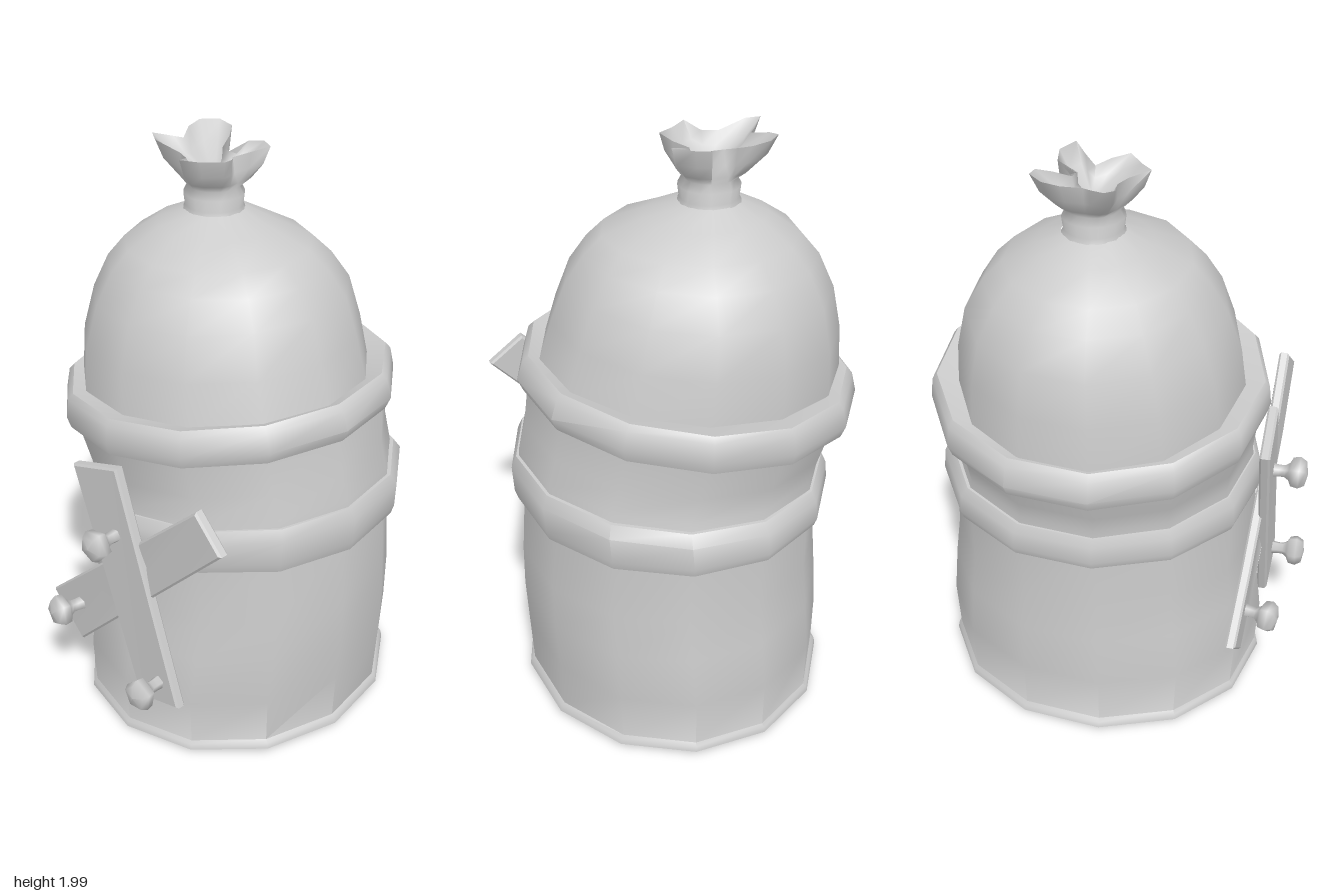
import * as THREE from 'three';
import { toCreasedNormals, mergeVertices } from 'three/addons/utils/BufferGeometryUtils.js';

const material = new THREE.MeshStandardMaterial({ color: 0xcccccc });
const thin = new THREE.MeshStandardMaterial({ color: 0xcccccc, side: THREE.DoubleSide });
const SIDES = 13;

// Skin a list of equal-length point rings (counter-clockwise from above)
function loft(rings, crease, capBottom = false) {
  const n = rings[0].length;
  const pos = rings.flat().flatMap((p) => [p.x, p.y, p.z]);
  const index = [];
  for (let r = 0; r < rings.length - 1; r++) {
    for (let i = 0; i < n; i++) {
      const a = r * n + i, b = r * n + ((i + 1) % n);
      index.push(a, b, b + n, a, b + n, a + n);
    }
  }
  if (capBottom) for (let i = 1; i < n - 1; i++) index.push(0, i + 1, i);
  const geo = new THREE.BufferGeometry();
  geo.setAttribute('position', new THREE.Float32BufferAttribute(pos, 3));
  geo.setIndex(index);
  return toCreasedNormals(geo, crease);
}

// Oval ring whose plane leans by slope along x
function ring([y, cx, cz, rx, rz, slope = 0]) {
  return Array.from({ length: SIDES }, (_, i) => {
    const a = THREE.MathUtils.degToRad(169) + (i / SIDES) * Math.PI * 2;
    const dx = Math.sin(a) * rx * 1.015;
    return new THREE.Vector3(cx + dx, y + dx * slope, cz + Math.cos(a) * rz * 1.015);
  });
}

function add(group, name, geo, mat = material) {
  const mesh = new THREE.Mesh(geo, mat);
  mesh.name = name;
  group.add(mesh);
  return mesh;
}

// Gathered cloth tuft: circles blending into a lobed rim
function tuftGeometry() {
  const cx = -0.09, cz = -0.07;
  const rim = [
    [0.065, -0.164], [0.003, -0.2], [-0.055, -0.19], [-0.075, -0.123], [-0.113, -0.13],
    [-0.137, -0.185], [-0.168, -0.226], [-0.226, -0.226], [-0.27, -0.178], [-0.264, -0.123],
    [-0.226, -0.065], [-0.247, -0.041], [-0.288, 0.014], [-0.247, 0.038], [-0.15, 0.02],
    [-0.1, 0.041], [-0.065, 0.103], [-0.014, 0.062], [0.045, 0.014], [0.02, -0.041],
    [-0.02, -0.082], [0.02, -0.123],
  ];
  // y, circle radius, blend towards the rim
  const levels = [
    [1.75, 0.11, 0], [1.78, 0.095, 0], [1.82, 0.1, 0], [1.845, 0.085, 0.02], [1.87, 0.1, 0.25],
    [1.91, 0.1, 0.72], [1.965, 0.1, 1], [1.92, 0.05, 0.6], [1.88, 0.02, 0.12], [1.87, 0.001, 0],
  ];
  const rings = levels.map(([y, r, t]) => rim.map(([x, z]) => {
    const dx = x - cx, dz = z - cz, d = Math.hypot(dx, dz);
    const k = THREE.MathUtils.lerp(r / d, 1, t);
    return new THREE.Vector3(cx + dx * k, y + (d - 0.14) * 0.3 * t - dz * 0.04 * t, cz + dz * k);
  }));
  return loft(rings, 1.6);
}

// Thin board from four front corners, leaning in depth along x
function plankGeometry(corners, z, slope, bow) {
  const [a, b, c, d] = corners.map((p) => new THREE.Vector2(...p));
  const pts = [a, b];
  for (let i = 1; i < 4; i++) pts.push(b.clone().lerp(c, i / 4));
  pts.push(c, d);
  for (let i = 1; i < 4; i++) pts.push(d.clone().lerp(a, i / 4));
  const geo = new THREE.ExtrudeGeometry(new THREE.Shape(pts), {
    depth: 0.022, bevelThickness: 0.007, bevelSize: 0.007, bevelOffset: -0.007, bevelSegments: 1,
  });
  const p = geo.attributes.position;
  for (let i = 0; i < p.count; i++) {
    const off = (p.getY(i) - 0.66) / 0.44;
    p.setZ(i, p.getZ(i) + z + slope * p.getX(i) + bow * (1 - off * off));
  }
  geo.deleteAttribute('normal');
  geo.deleteAttribute('uv');
  return toCreasedNormals(mergeVertices(geo), 0.5);
}

export function createModel() {
  const model = new THREE.Group();

  // Sack: rings are [y, centre x, centre z, radius x, radius z, lean]
  add(model, 'lowerBody', loft([
    [0, 0.035, -0.07, 0.505, 0.555], [0.015, 0.035, -0.07, 0.525, 0.573],
    [0.035, 0.035, -0.07, 0.52, 0.57], [0.045, 0.035, -0.07, 0.508, 0.56],
    [0.22, 0.038, -0.07, 0.513, 0.57], [0.4, 0.048, -0.075, 0.512, 0.55],
    [0.55, 0.052, -0.075, 0.506, 0.53], [0.78, 0.045, -0.075, 0.495, 0.53, 0.02],
  ].map(ring), 0.9, true));
  add(model, 'middleBody', loft([
    [0.84, 0.045, -0.08, 0.51, 0.53, 0.06], [0.92, 0.045, -0.075, 0.505, 0.51, 0.07],
    [1.0, 0.02, -0.07, 0.505, 0.515, 0.09], [1.14, -0.01, -0.07, 0.515, 0.54, 0.11],
  ].map(ring), 0.9));
  add(model, 'lowerBand', loft([
    [0.765, 0.045, -0.08, 0.48, 0.52, 0.025], [0.755, 0.045, -0.085, 0.52, 0.545, 0.025],
    [0.785, 0.045, -0.085, 0.53, 0.555, 0.03], [0.86, 0.05, -0.085, 0.53, 0.55, 0.06],
    [0.895, 0.047, -0.08, 0.515, 0.525, 0.07], [0.895, 0.047, -0.08, 0.48, 0.49, 0.07],
  ].map(ring), 0.8));
  add(model, 'upperBand', loft([
    [1.12, -0.01, -0.07, 0.49, 0.52, 0.11], [1.11, -0.02, -0.07, 0.54, 0.55, 0.11],
    [1.15, -0.02, -0.07, 0.558, 0.562, 0.11], [1.215, -0.022, -0.07, 0.54, 0.555, 0.11],
    [1.235, -0.022, -0.07, 0.52, 0.54, 0.11], [1.215, -0.03, -0.065, 0.47, 0.45, 0.1],
  ].map(ring), 0.8));
  add(model, 'domeTop', loft([
    [1.19, -0.03, -0.06, 0.5, 0.472, 0.11], [1.36, -0.05, -0.063, 0.47, 0.455, 0.085],
    [1.5, -0.06, -0.07, 0.43, 0.415, 0.08], [1.6, -0.065, -0.067, 0.375, 0.355, 0.05],
    [1.665, -0.065, -0.063, 0.315, 0.295, 0.035], [1.725, -0.08, -0.068, 0.2, 0.185, 0],
    [1.77, -0.087, -0.07, 0.095, 0.1, 0],
  ].map(ring), 0.9));
  add(model, 'gatheredTuft', tuftGeometry(), thin);

  // Crossed boards
  add(model, 'rearPlank', plankGeometry(
    [[-0.36, 0.38], [-0.21, 0.235], [0.54, 1.0], [0.42, 1.1]], 0.46, 0.045, 0.012));
  add(model, 'frontPlank', plankGeometry(
    [[-0.14, 1.03], [0.15, 0.22], [0.34, 0.28], [0.07, 1.1]], 0.492, -0.01, 0.012));

  // Five-sided nails
  const profile = [[0.028, -0.02], [0.022, 0.03], [0.022, 0.05], [0.032, 0.065], [0.053, 0.075],
    [0.058, 0.1], [0.045, 0.122], [0, 0.13]].map((p) => new THREE.Vector2(...p));
  const nailGeo = new THREE.LatheGeometry(profile, 5);
  nailGeo.rotateX(Math.PI / 2);
  [[0.06, 0.845, 0.51, 0.02], [-0.19, 0.41, 0.475, -0.2], [0.25, 0.345, 0.51, 0.02]]
    .forEach(([x, y, z, yaw], i) => {
      const nail = add(model, 'nail' + (i + 1), nailGeo);
      nail.position.set(x, y, z);
      nail.rotation.set(0, yaw, 0.2 - i * 0.35);
    });
  return model;
}
